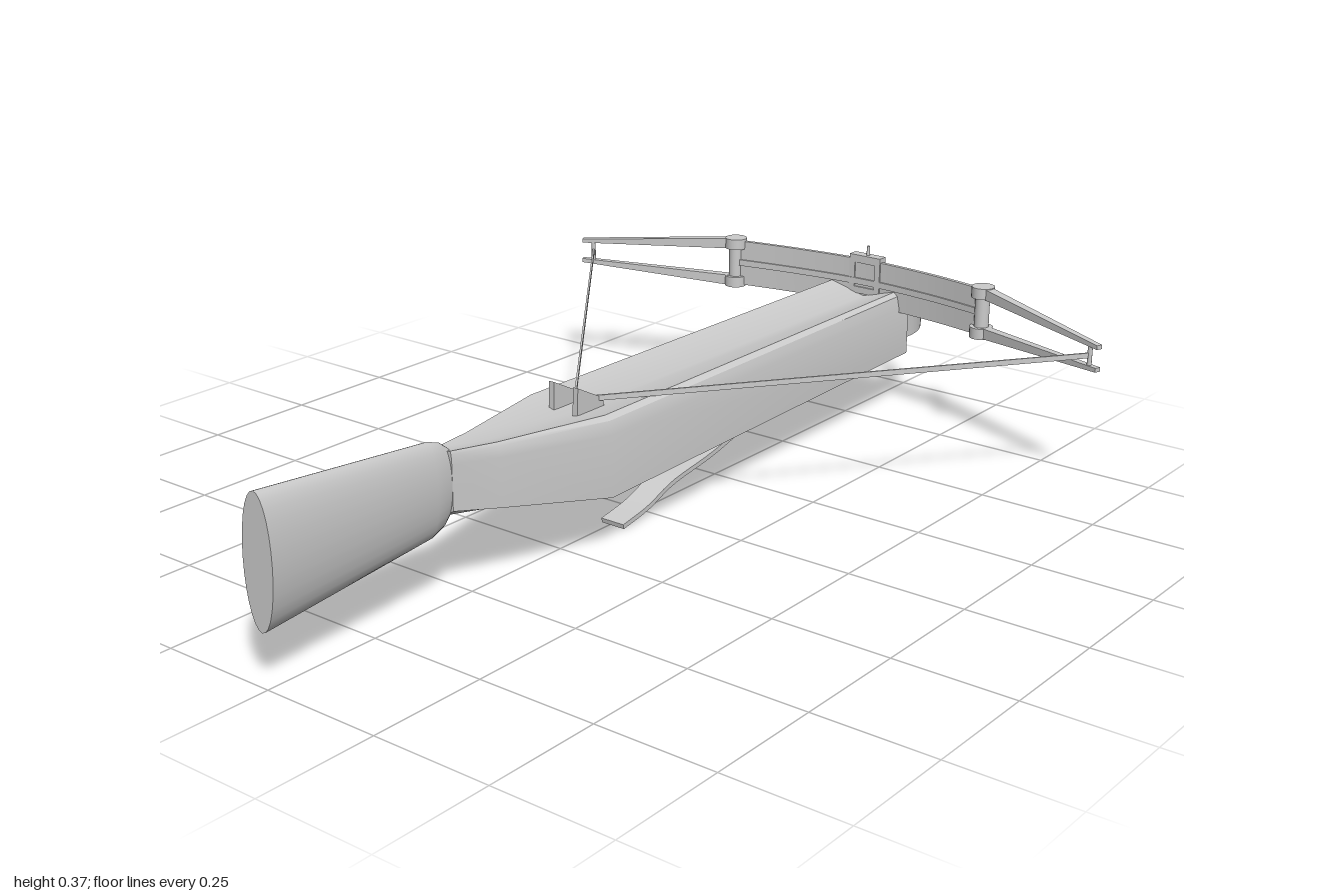
import * as THREE from 'three';
import { toCreasedNormals } from 'three/addons/utils/BufferGeometryUtils.js';

const material = new THREE.MeshStandardMaterial({ color: 0xcccccc, side: THREE.DoubleSide });

function add(parent, name, geometry, x = 0, y = 0, z = 0) {
  const mesh = new THREE.Mesh(geometry, material);
  mesh.name = name;
  mesh.position.set(x, y, z);
  parent.add(mesh);
  return mesh;
}

// Closed skin over rings of [y, z] points placed along x
function loft(sections, crease = 0.6) {
  const pos = [];
  const put = (s, j) => pos.push(s.x, ...s.ring[j]);
  const n = sections[0].ring.length;
  for (let i = 0; i < sections.length - 1; i++) {
    const a = sections[i], b = sections[i + 1];
    for (let j = 0; j < n; j++) {
      const k = (j + 1) % n;
      put(a, j); put(a, k); put(b, k);
      put(a, j); put(b, k); put(b, j);
    }
  }
  const first = sections[0], last = sections[sections.length - 1];
  for (let j = 1; j < n - 1; j++) {
    put(first, 0); put(first, j + 1); put(first, j);
    put(last, 0); put(last, j); put(last, j + 1);
  }
  const g = new THREE.BufferGeometry();
  g.setAttribute('position', new THREE.Float32BufferAttribute(pos, 3));
  return toCreasedNormals(g, crease);
}

// Bent strip: a plane path given thickness, then extruded by depth
function strip(path, thickness, depth, steps = 24) {
  const curve = new THREE.SplineCurve(path.map(p => new THREE.Vector2(...p)));
  const one = [], two = [];
  for (let i = 0; i <= steps; i++) {
    const p = curve.getPoint(i / steps), t = curve.getTangent(i / steps);
    const n = new THREE.Vector2(-t.y, t.x).multiplyScalar(thickness / 2);
    one.push(p.clone().add(n));
    two.unshift(p.clone().sub(n));
  }
  const g = new THREE.ExtrudeGeometry(new THREE.Shape([...one, ...two]), { depth, bevelEnabled: false });
  return toCreasedNormals(g, 0.6);
}

// Strip following an [x, z] path, standing upright from y0
const wall = (path, thickness, y0, height) =>
  strip(path, thickness, height).rotateX(Math.PI / 2).translate(0, y0 + height, 0);

// Tapered rectangular bar between two points
function bar(a, b, [h0, t0], [h1, t1]) {
  const dx = b[0] - a[0], dz = b[2] - a[2];
  const rect = (y, h, t) => [[y + h / 2, -t / 2], [y + h / 2, t / 2], [y - h / 2, t / 2], [y - h / 2, -t / 2]];
  return loft([
    { x: 0, ring: rect(a[1], h0, t0) },
    { x: Math.hypot(dx, dz), ring: rect(b[1], h1, t1) },
  ]).rotateY(Math.atan2(-dz, dx)).translate(a[0], 0, a[2]);
}

// Grooved, round-shouldered body section
function bodySection(x, w, bottom, top, groove) {
  const d = top - bottom;
  const half = [[top, 0.84 * w], [top - 0.05 * d, 0.94 * w], [top - 0.2 * d, w], [bottom + 0.1 * d, w]];
  return { x, ring: [
    [top - groove, 0], ...half, [bottom, 0],
    ...half.slice().reverse().map(([y, z]) => [y, -z]),
  ] };
}

function ovalSection(x, bottom, top, w) {
  const ring = [];
  for (let i = 0; i < 28; i++) {
    const a = i / 28 * Math.PI * 2;
    ring.push([(bottom + top) / 2 + Math.cos(a) * (top - bottom) / 2, Math.sin(a) * w]);
  }
  return { x, ring };
}

export function createModel() {
  const model = new THREE.Group();
  model.name = 'crossbow';

  // Stock
  add(model, 'body', loft([
    bodySection(-0.56, 0.02, 0.172, 0.3, 0.004),
    bodySection(-0.46, 0.046, 0.152, 0.293, 0.008),
    bodySection(-0.22, 0.11, 0.107, 0.288, 0.02),
    bodySection(0.85, 0.097, 0.118, 0.284, 0.024),
  ]), 0, 0, -0.003);
  add(model, 'butt', loft([
    ovalSection(-1, 0.105, 0.36, 0.036),
    ovalSection(-0.6, 0.14, 0.325, 0.026),
    ovalSection(-0.57, 0.152, 0.315, 0.023),
    ovalSection(-0.55, 0.172, 0.3, 0.019),
  ]), 0, 0, -0.004);

  // Trigger lever under the body
  add(model, 'triggerLever', strip(
    [[0.34, 0.122], [0.27, 0.092], [0.18, 0.07], [0.06, 0.05], [-0.02, 0.022], [-0.1, 0.006]],
    0.01, 0.056), 0, 0, -0.02);

  // Foot stirrup
  add(model, 'stirrup', wall(
    [[0.845, -0.083], [0.9, -0.082], [0.955, -0.062], [0.985, -0.03], [0.995, 0],
      [0.985, 0.03], [0.955, 0.062], [0.9, 0.082], [0.845, 0.083]], 0.007, 0.168, 0.073));

  // Riser and its centre rib
  const riserPath = [[0.77, -0.33], [0.8, -0.17], [0.817, 0], [0.806, 0.17], [0.78, 0.32]];
  add(model, 'riser', wall(riserPath, 0.01, 0.24, 0.104));
  add(model, 'riserRib', wall(riserPath, 0.018, 0.286, 0.014));

  // Sight frame with an open window, and its pin
  const frame = new THREE.Shape();
  frame.moveTo(-0.04, 0.265).lineTo(0.04, 0.265).lineTo(0.04, 0.354).lineTo(-0.04, 0.354).closePath();
  const hole = new THREE.Path();
  hole.moveTo(-0.026, 0.28).lineTo(-0.026, 0.336).lineTo(0.026, 0.336).lineTo(0.026, 0.28).closePath();
  frame.holes.push(hole);
  add(model, 'sightFrame', new THREE.ExtrudeGeometry(frame, { depth: 0.024, bevelEnabled: false })
    .rotateY(Math.PI / 2), 0.808);
  add(model, 'sightPin', new THREE.CylinderGeometry(0.003, 0.005, 0.03, 10), 0.822, 0.36, 0);

  // Limbs, hinges, string and catch for each side
  const sides = [
    { name: 'left', hinge: [0.78, 0.32], tip: [0.645, 0.665], catchZ: 0.024, s: 1 },
    { name: 'right', hinge: [0.77, -0.33], tip: [0.622, -0.672], catchZ: -0.035, s: -1 },
  ];
  for (const { name, hinge: [hx, hz], tip: [tx, tz], catchZ, s } of sides) {
    const side = new THREE.Group();
    side.name = name + 'Limb';
    model.add(side);
    add(side, 'hinge', new THREE.CylinderGeometry(0.016, 0.016, 0.11, 20), hx, 0.293, hz);
    for (const up of [1, -1]) {
      const y = 0.293 + up * 0.045, yTip = 0.293 + up * 0.024;
      add(side, 'hingeCollar', new THREE.CylinderGeometry(0.025, 0.025, 0.024, 24), hx, y, hz);
      add(side, 'limbArm', bar([hx, y, hz], [tx, yTip, tz], [0.024, 0.022], [0.009, 0.013]));
    }
    const px = tx + (hx - tx) * 0.07, pz = tz + (hz - tz) * 0.07;
    add(side, 'stringPost', new THREE.CylinderGeometry(0.005, 0.005, 0.05, 10), px, 0.293, pz);
    add(side, 'string', bar([px, 0.293, pz], [-0.17, 0.294, 0.025 * s], [0.011, 0.004], [0.011, 0.004]));

    // Wedge-shaped catch
    const wedge = new THREE.Shape();
    wedge.moveTo(-0.23, 0.27).lineTo(-0.15, 0.27).lineTo(-0.155, 0.292).lineTo(-0.228, 0.33).closePath();
    add(model, name + 'Catch', new THREE.ExtrudeGeometry(wedge, { depth: 0.012, bevelEnabled: false }),
      0, 0, catchZ - 0.006);
  }
  add(model, 'stringMiddle', bar([-0.17, 0.294, -0.026], [-0.17, 0.294, 0.026], [0.011, 0.004], [0.011, 0.004]));

  return model;
}
